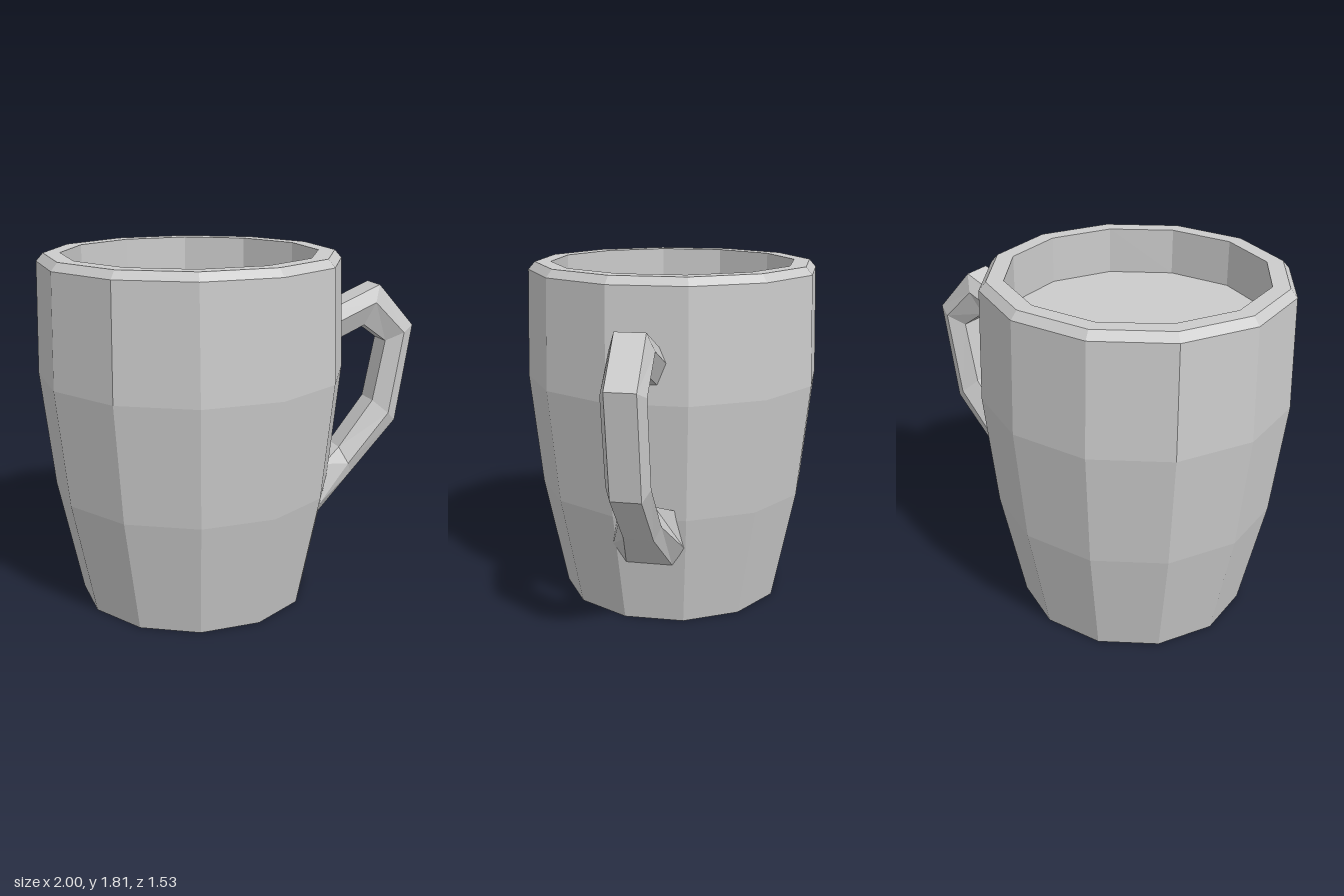
import * as THREE from 'three';

const SIDES = 12;
const TURN = THREE.MathUtils.degToRad(16);
const CUP_X = -0.24;

function material() {
  return new THREE.MeshStandardMaterial({ color: 0xcccccc, flatShading: true });
}

function addMesh(group, name, geometry) {
  const flat = geometry.index ? geometry.toNonIndexed() : geometry;
  flat.computeVertexNormals();
  const mesh = new THREE.Mesh(flat, material());
  mesh.name = name;
  group.add(mesh);
  return mesh;
}

// Twelve-sided turned shape from [radius, height] pairs
function turned(profile) {
  const points = profile.map(([r, y]) => new THREE.Vector2(r, y));
  return new THREE.LatheGeometry(points, SIDES, TURN);
}

// Six-sided cross-section: flat outer face, wide middle edges, flat inner face
function section({ outer, inner, mid, w }) {
  const [wo, wm, wi] = w;
  const m = mid ?? [0, 1].map((k) => outer[k] + (inner[k] - outer[k]) * 0.42);
  return [
    [...outer, wo], [...m, wm], [...inner, wi],
    [...inner, -wi], [...m, -wm], [...outer, -wo],
  ];
}

function handleGeometry() {
  const w = [0.075, 0.108, 0.065];
  const rings = [
    { outer: [0.49, 1.475], inner: [0.49, 1.29], w },
    { outer: [0.79, 1.6], inner: [0.71, 1.385], w },
    { outer: [0.995, 1.37], inner: [0.84, 1.29], w },
    { outer: [0.91, 0.84], inner: [0.775, 0.96], w },
    { outer: [0.65, 0.56], inner: [0.58, 0.71], w },
    // Flared foot against the cup wall
    { outer: [0.41, 0.34], inner: [0.455, 0.65], mid: [0.42, 0.44], w: [0.12, 0.185, 0.145] },
  ].map(section);

  const pos = [];
  const tri = (a, b, c) => pos.push(...a, ...b, ...c);
  for (let s = 0; s < rings.length - 1; s++) {
    const a = rings[s], b = rings[s + 1];
    for (let i = 0; i < 6; i++) {
      const j = (i + 1) % 6;
      tri(a[i], a[j], b[j]);
      tri(a[i], b[j], b[i]);
    }
  }
  // End caps
  const first = rings[0], last = rings[rings.length - 1];
  for (let i = 1; i < 5; i++) {
    tri(first[0], first[i + 1], first[i]);
    tri(last[0], last[i], last[i + 1]);
  }
  const geometry = new THREE.BufferGeometry();
  geometry.setAttribute('position', new THREE.Float32BufferAttribute(pos, 3));
  return geometry;
}

export function createModel() {
  const mug = new THREE.Group();
  mug.name = 'mug';

  // Cup with base, bulging wall, bevelled rim and inner wall
  const cup = addMesh(mug, 'cup', turned([
    [0, 0], [0.6, 0], [0.723, 0.6], [0.786, 1.2], [0.77, 1.77],
    [0.735, 1.81], [0.65, 1.81], [0.65, 1.57],
  ]));
  cup.position.x = CUP_X;

  // Level surface of the drink
  const drink = addMesh(mug, 'drinkSurface', turned([[0.65, 1.57], [0, 1.57]]));
  drink.position.x = CUP_X;

  addMesh(mug, 'handle', handleGeometry());
  return mug;
}
